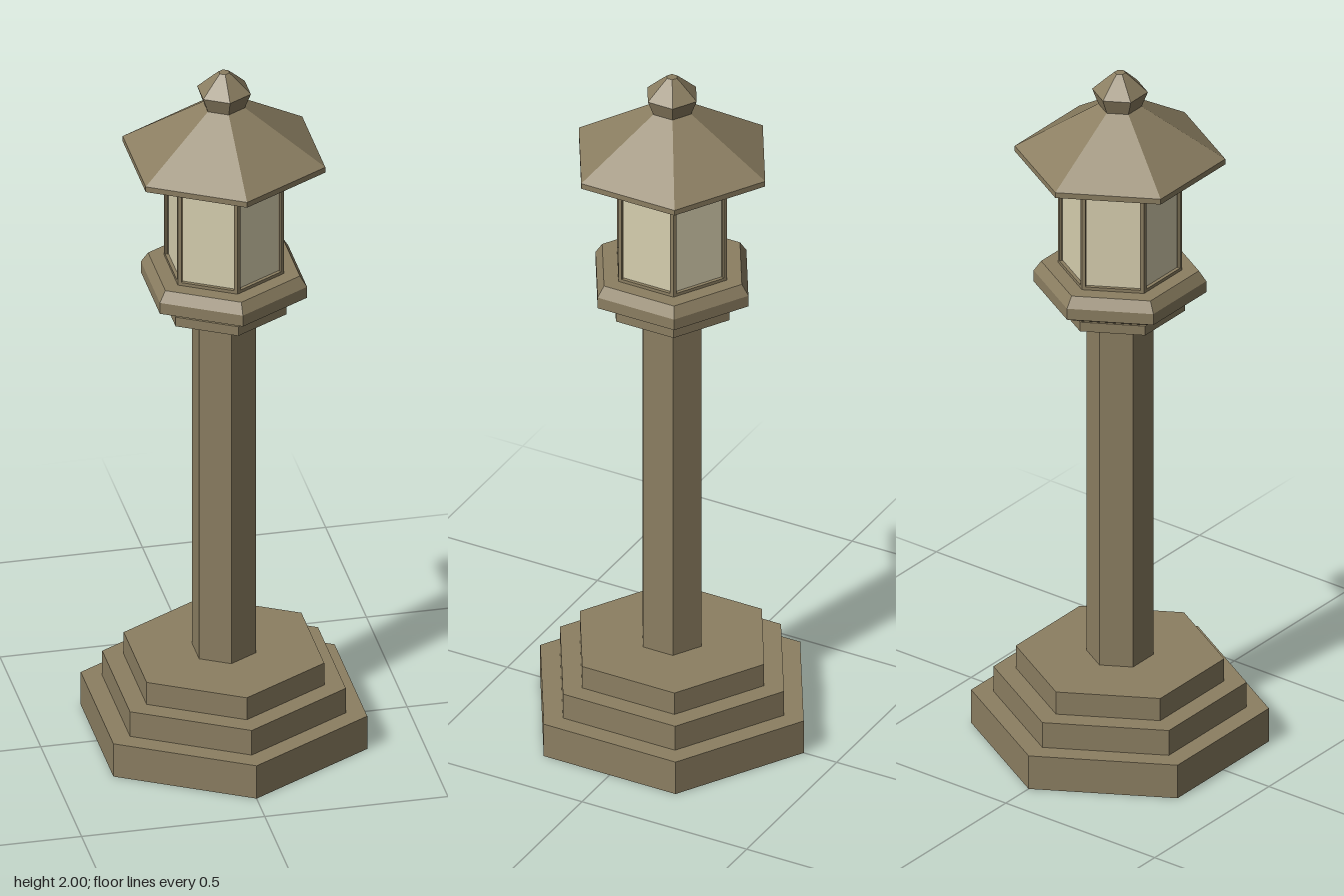
import * as THREE from 'three';

const stone = new THREE.MeshStandardMaterial({ color: 0x8c7f62, flatShading: true });
const glassMat = new THREE.MeshStandardMaterial({ color: 0xd8d0b0, flatShading: true });

// Six-sided solid from a [radius, height] profile, bottom to top, corner towards +z
function hexSolid(name, profile, material = stone) {
  const pts = profile.map(([r, y]) => new THREE.Vector2(r, y));
  pts.unshift(new THREE.Vector2(0, pts[0].y));
  pts.push(new THREE.Vector2(0, pts[pts.length - 1].y));
  const geo = new THREE.LatheGeometry(pts, 6).toNonIndexed();
  geo.computeVertexNormals();
  const mesh = new THREE.Mesh(geo, material);
  mesh.name = name;
  return mesh;
}

// Window frame of one lantern side: a rectangle with an opening
function frameGeometry(width, y0, y1, post, rail, depth) {
  const w = width / 2, i = w - post;
  const shape = new THREE.Shape([[-w, y0], [w, y0], [w, y1], [-w, y1]].map(p => new THREE.Vector2(...p)));
  shape.holes.push(new THREE.Path(
    [[-i, y0 + rail], [-i, y1 - rail], [i, y1 - rail], [i, y0 + rail]].map(p => new THREE.Vector2(...p))));
  return new THREE.ExtrudeGeometry(shape, { depth, bevelEnabled: false });
}

export function createModel() {
  const lamp = new THREE.Group();
  lamp.name = 'lampPost';

  // Stepped base
  [[0.4, 0, 0.1], [0.34, 0.1, 0.175], [0.28, 0.175, 0.242]].forEach(([r, y0, y1], i) =>
    lamp.add(hexSolid('baseStep' + (i + 1), [[r, y0], [r, y1]])));

  lamp.add(hexSolid('pillar', [[0.09, 0.24], [0.09, 1.26]]));

  // Flared supports under the lantern
  lamp.add(hexSolid('capital', [[0.09, 1.25], [0.175, 1.29], [0.175, 1.318]]));
  lamp.add(hexSolid('lanternPlatform',
    [[0.165, 1.316], [0.232, 1.35], [0.232, 1.383], [0.212, 1.413]]));

  // Lantern: glass core behind six framed windows
  lamp.add(hexSolid('glass', [[0.156, 1.41], [0.156, 1.7]], glassMat));
  const radius = 0.167, depth = 0.014;
  const frame = frameGeometry(radius, 1.41, 1.705, 0.01, 0.012, depth);
  frame.translate(0, 0, radius * Math.cos(Math.PI / 6) - depth);
  const frames = new THREE.Group();
  frames.name = 'windowFrames';
  for (let i = 0; i < 6; i++) {
    const side = new THREE.Mesh(frame, stone);
    side.name = 'windowFrame' + (i + 1);
    side.rotation.y = Math.PI / 6 + i * Math.PI / 3;
    frames.add(side);
  }
  lamp.add(frames);

  // Cornice, roof and finial
  lamp.add(hexSolid('cornice', [[0.16, 1.695], [0.2, 1.742]]));
  lamp.add(hexSolid('roof', [[0.283, 1.741], [0.283, 1.757], [0.055, 1.903]]));
  lamp.add(hexSolid('finial',
    [[0.056, 1.895], [0.075, 1.945], [0.03, 1.987], [0.015, 2]]));

  return lamp;
}
